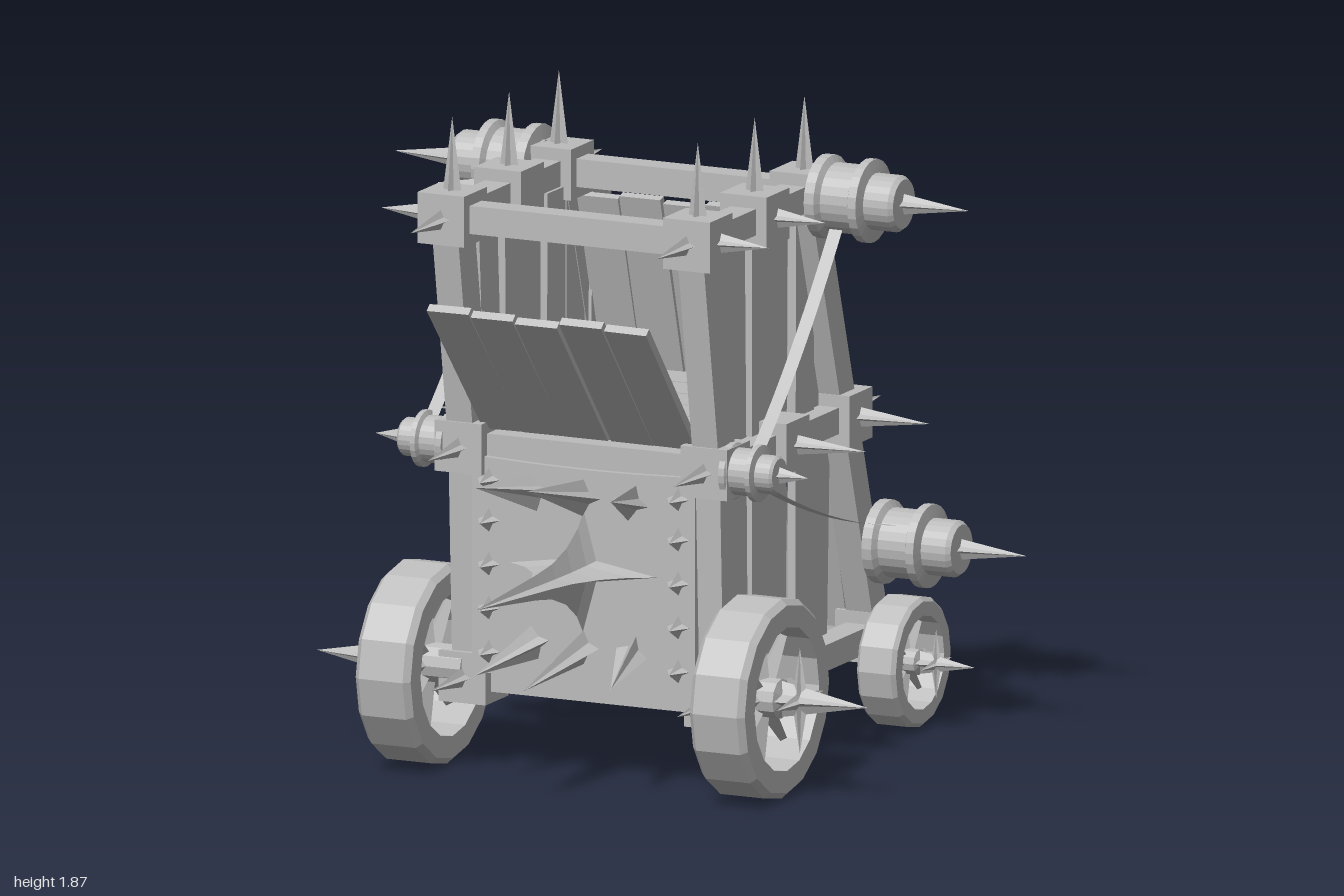
import * as THREE from 'three';

const V = (x, y, z) => new THREE.Vector3(x, y, z);
const UP = V(0, 1, 0);

export function createModel() {
  const root = new THREE.Group();
  root.name = 'siegeTower';
  const grey = new THREE.MeshStandardMaterial({ color: 0xbcbcbc, flatShading: true });
  grey.name = 'plain grey';
  const thin = new THREE.MeshStandardMaterial({ color: 0xbcbcbc, side: THREE.DoubleSide });
  thin.name = 'strap grey';

  const body = new THREE.Group();
  body.name = 'body';
  body.position.x = -0.01;
  root.add(body);

  const add = (name, geo, parent = body, mat = grey) => {
    const m = new THREE.Mesh(geo, mat);
    m.name = name;
    parent.add(m);
    return m;
  };

  // Timber between two points; w is measured along the side axis, t across it
  const timber = (name, a, b, side, w, t) => {
    const y = b.clone().sub(a), len = y.length();
    y.normalize();
    const z = side.clone().cross(y).normalize();
    const x = y.clone().cross(z);
    const m = add(name, new THREE.BoxGeometry(w, len, t));
    m.quaternion.setFromRotationMatrix(new THREE.Matrix4().makeBasis(x, y, z));
    m.position.copy(a).add(b).multiplyScalar(0.5);
    return m;
  };

  // Four-ridged spike: a lathe with every second ridge pulled inward
  const starGeo = (profile, pinch) => {
    const geo = new THREE.LatheGeometry(profile.map(([r, y]) => new THREE.Vector2(r, y)), 8);
    const p = geo.attributes.position, n = profile.length;
    for (let i = 0; i < p.count; i++) {
      if (Math.floor(i / n) % 2) p.setXYZ(i, p.getX(i) * pinch, p.getY(i), p.getZ(i) * pinch);
    }
    geo.computeVertexNormals();
    return geo;
  };
  const spike = (name, base, tip, r, parent = body, pinch = 0.45) => {
    const d = tip.clone().sub(base), len = d.length();
    const m = add(name, starGeo([[0, 0], [r, 0], [r * 0.5, len * 0.5], [0, len]], pinch), parent);
    m.position.copy(base);
    m.quaternion.setFromUnitVectors(UP, d.normalize());
    return m;
  };

  // Frame levels: height, z of each joint block, reach of the side spikes
  const X = 0.38, B = 0.07;
  const levels = [
    { y: 1.59, z: [0.375, 0.015, -0.3], tip: 0.6 },
    { y: 0.92, z: [0.265, -0.11, -0.51], tip: 0.665 },
    { y: 0.26, z: [0.24, -0.715], tip: 0 },
  ];
  levels.forEach(({ y, z, tip }, li) => {
    const zf = z[0], zb = z[z.length - 1];
    for (const ze of [zf, zb]) {
      timber('crossBeam', V(-X, y, ze), V(X, y, ze), UP, 0.08, 0.075);
    }
    for (const s of [-1, 1]) {
      timber('sideBeam', V(s * X, y, zf), V(s * X, y, zb), UP, 0.075, 0.08);
      z.forEach((zz) => {
        const block = add('jointBlock', new THREE.BoxGeometry(0.145, 0.145, 0.145));
        block.position.set(s * X, y, zz);
        if (li === 0) spike('topSpike', V(s * X, y + B, zz), V(s * X, y + 0.28, zz), 0.028);
        if (tip) spike('sideSpike', V(s * (X + B), y, zz), V(s * tip, y, zz), 0.028);
        if (zz === zf) spike('frontSpike', V(s * X, y, zz + B), V(s * X, y, zz + 0.265), 0.028);
        if (zz === zb) spike('backSpike', V(s * X, y, zz - B), V(s * X, y, zz - 0.275), 0.028);
      });
    }
  });

  // Corner posts
  for (const s of [-1, 1]) {
    for (let i = 0; i < 2; i++) {
      const a = levels[i], b = levels[i + 1];
      timber('frontPost', V(s * X, b.y, b.z[0]), V(s * X, a.y, a.z[0]), V(1, 0, 0), 0.08, 0.105);
      timber('backPost', V(s * X, b.y, b.z.at(-1)), V(s * X, a.y, a.z.at(-1)), V(1, 0, 0), 0.08, 0.09);
    }
  }

  // Side wall planks, fanning slightly outward toward the top
  const sideTop = [0.225, 0.085, -0.05, -0.185, -0.33, -0.475];
  const sideFoot = [0.15, 0.065, -0.05, -0.175, -0.325, -0.435];
  for (const s of [-1, 1]) {
    sideTop.forEach((zt, i) => {
      const x = s * (0.355 - (i % 2) * 0.012);
      timber('sidePlank', V(x, 0.28, sideFoot[i]), V(x, 1.555 - (i % 3) * 0.005, zt), V(0, 0, 1), 0.115, 0.025);
    });
  }

  // Leaning back wall planks
  [-0.275, -0.138, -0.008, 0.13, 0.275].forEach((x, i) => {
    const j = (i % 2) * 0.012;
    timber('backPlank', V(x * 0.97, 0.28, -0.685 + j), V(x, 1.515 + j, -0.34 + j), V(1, 0, 0), 0.127, 0.025);
  });

  // Raised floor
  for (let i = 0; i < 5; i++) {
    const f = timber('floorPlank', V(-0.32, 1.005, 0.2 - i * 0.135), V(0.32, 1.015, 0.195 - i * 0.135), V(0, 0, 1), 0.125, 0.025);
    f.rotateZ(0.01 * (i % 2));
  }

  // Lowered front flap
  [-0.27, -0.138, -0.005, 0.14, 0.275].forEach((x, i) => {
    const j = (i % 3) * 0.008;
    timber('flapPlank', V(x * 0.97, 0.98, 0.28), V(x, 1.38 - j, 0.62 - j), V(1, 0, 0), 0.13, 0.025);
  });

  // Front plate with a slightly bowed outline
  const outline = new THREE.Shape();
  outline.moveTo(-0.345, 0.28);
  outline.quadraticCurveTo(0, 0.3, 0.345, 0.28);
  outline.lineTo(0.345, 0.9);
  outline.quadraticCurveTo(0, 0.88, -0.345, 0.9);
  const plate = add('frontPlate', new THREE.ExtrudeGeometry(outline, { depth: 0.03, bevelEnabled: false }));
  plate.position.z = 0.29;

  // Great ram spike, its foot flaring into four arms
  const ram = add('ramSpike', starGeo(
    [[0.175, 0], [0.125, 0.04], [0.08, 0.11], [0.05, 0.2], [0.036, 0.3], [0, 0.68]], 0.24));
  ram.rotation.x = Math.PI / 2 - 0.03;
  ram.scale.x = 1.3;
  ram.position.set(0, 0.605, 0.32);

  // Fan of spikes above and below the ram, and rows of studs at the sides
  for (const x of [-1, 0, 1]) {
    spike('plateSpike', V(x * 0.15, 0.81, 0.315), V(x * 0.21, x ? 0.87 : 0.9, x ? 0.58 : 0.68), 0.052);
    spike('plateSpike', V(x * 0.15, 0.385, 0.315), V(x * 0.21, 0.335, x ? 0.58 : 0.7), 0.048);
  }
  for (const s of [-1, 1]) {
    for (const y of [0.835, 0.72, 0.595, 0.47, 0.345]) {
      spike('plateStud', V(s * 0.293, y, 0.32), V(s * 0.293, y, 0.38), 0.034);
    }
  }

  // Turned geometry lying along +x
  const turned = (profile, sides) =>
    new THREE.LatheGeometry(profile.map(([r, y]) => new THREE.Vector2(r, y)), sides).rotateZ(-Math.PI / 2);

  const sideGroup = (name, s, x, y, z) => {
    const g = new THREE.Group();
    g.name = name;
    g.position.set(s * x, y, z);
    if (s < 0) g.rotation.y = Math.PI;
    body.add(g);
    return g;
  };

  // Spiked wheel of radius r and half width h
  const wheel = (name, s, x, y, z, r, h, reach) => {
    const g = sideGroup(name, s, x, y, z);
    const inner = r * 0.72, c = r * 0.06;
    add('rim', turned([[inner, -h], [r - c, -h], [r, -h + c], [r, h - c], [r - c, h], [inner, h], [inner, -h]], 16), g);
    add('hub', turned([[0, -h - 0.05], [r * 0.2, -h - 0.05], [r * 0.2, h * 0.8], [0, h]], 12), g);
    for (let i = 0; i < 8; i++) {
      const spoke = add('spoke', new THREE.CylinderGeometry(r * 0.05, r * 0.12, inner * 0.92, 4), g);
      spoke.geometry.translate(0, inner * 0.55, 0);
      spoke.rotation.x = (i * Math.PI) / 4;
    }
    // Hub star: one long spike and four short ones around it
    const cx = h + 0.04;
    spike('hubSpike', V(h * 0.5, 0, 0), V(reach, 0, 0), r * 0.2, g);
    for (let i = 0; i < 4; i++) {
      const a = (i * Math.PI) / 2, d = r * 0.53;
      spike('hubThorn', V(cx, 0, 0), V(cx, Math.cos(a) * d, Math.sin(a) * d), r * 0.09, g);
    }
  };

  // Spool with two flanges, an end cap and a spike; k scales the radius, e the length
  const spool = (name, s, y, z, k, e, reach) => {
    const g = sideGroup(name, s, 0.42, y, z);
    add('drum', turned([
      [0, 0], [0.075, 0], [0.075, 0.01], [0.118, 0.015], [0.118, 0.045], [0.098, 0.055], [0.098, 0.14],
      [0.118, 0.15], [0.118, 0.175], [0.08, 0.18], [0.08, 0.255], [0.07, 0.268], [0, 0.268],
    ].map(([r, l]) => [r * k, l * e]), 24), g);
    spike('spoolSpike', V(0.262 * e, 0, 0), V(reach - 0.42, 0, 0), 0.03 * Math.sqrt(k), g);
  };

  // Flat sagging strap between two spools
  const strap = (s, a, b, sag) => {
    const curve = new THREE.QuadraticBezierCurve3(a, a.clone().lerp(b, 0.5).add(V(0, -sag, 0)), b);
    const geo = new THREE.PlaneGeometry(0.04, 1, 1, 12);
    const p = geo.attributes.position;
    for (let i = 0; i < p.count; i++) {
      const q = curve.getPoint(p.getY(i) + 0.5);
      p.setXYZ(i, s * 0.505 + p.getX(i), q.y, q.z);
    }
    geo.computeVertexNormals();
    add('strap', geo, body, thin);
  };

  for (const s of [-1, 1]) {
    wheel('frontWheel', s, 0.517, 0.284, 0.265, 0.284, 0.085, 0.335);
    wheel('backWheel', s, 0.487, 0.19, -0.71, 0.185, 0.06, 0.22);
    spool('topSpool', s, 1.59, -0.3, 1, 1, 0.89);
    spool('lowerSpool', s, 0.535, -0.665, 1, 1, 0.89);
    spool('middleSpool', s, 0.92, 0.268, 0.68, 0.6, 0.67);
    strap(s, V(0, 1.52, -0.25), V(0, 0.98, 0.25), 0.06);
    strap(s, V(0, 0.88, 0.24), V(0, 0.6, -0.6), 0.06);
    // Bracket carrying the lower spool
    timber('spoolBracket', V(s * 0.34, 0.535, -0.645), V(s * 0.44, 0.535, -0.665), UP, 0.09, 0.09);
  }

  return root;
}
